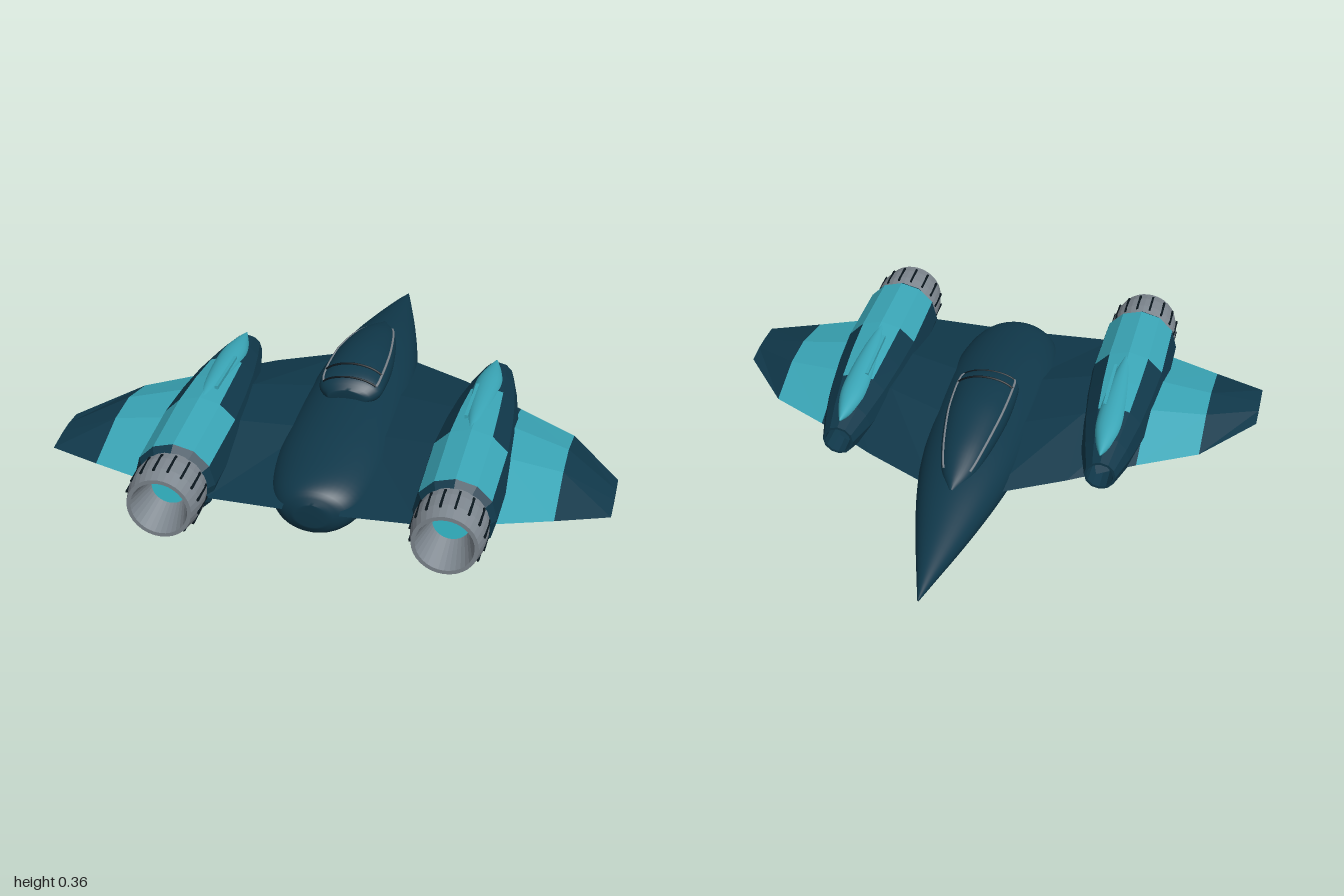
import * as THREE from 'three';

const mat = (name, color, side = THREE.FrontSide) => {
  const m = new THREE.MeshStandardMaterial({ color, side });
  m.name = name;
  return m;
};

// Skins closed rings of points; keep(i, j) selects which quads are built
function loft(rings, { flat = false, capStart = true, capEnd = true, keep = () => true } = {}) {
  const n = rings[0].length, pos = [], idx = [];
  rings.forEach(r => r.forEach(p => pos.push(p.x, p.y, p.z)));
  for (let i = 0; i < rings.length - 1; i++) {
    for (let j = 0; j < n; j++) {
      if (!keep(i, j)) continue;
      const a = i * n + j, b = i * n + (j + 1) % n;
      idx.push(a, b, b + n, a, b + n, a + n);
    }
  }
  const last = (rings.length - 1) * n;
  for (let j = 1; j < n - 1; j++) {
    if (capStart) idx.push(0, j + 1, j);
    if (capEnd) idx.push(last, last + j, last + j + 1);
  }
  let g = new THREE.BufferGeometry();
  g.setAttribute('position', new THREE.Float32BufferAttribute(pos, 3));
  g.setIndex(idx);
  if (flat) g = g.toNonIndexed();
  g.computeVertexNormals();
  return g;
}

// Section rows are [z, halfWidth, bottom, top]
const sectionPoint = ([z, w, lo, hi], a, cx = 0) =>
  new THREE.Vector3(cx + w * Math.cos(a), (lo + hi) / 2 + (hi - lo) / 2 * Math.sin(a), z);
const sectionRing = (s, n, cx = 0) =>
  Array.from({ length: n }, (_, j) => sectionPoint(s, Math.PI / 2 + j / n * Math.PI * 2, cx));
const round = (z, r, cy) => [z, r, cy - r, cy + r];

// Smoothly resamples a section table
function smooth(table, count) {
  const curve = f => new THREE.CatmullRomCurve3(table.map(f), false, 'catmullrom', 0.5);
  const a = curve(s => new THREE.Vector3(s[0], s[1], 0));
  const b = curve(s => new THREE.Vector3(s[0], s[2], s[3]));
  return Array.from({ length: count + 1 }, (_, i) => {
    const p = a.getPoint(i / count), q = b.getPoint(i / count);
    return [p.x, Math.max(p.y, 0.001), q.y, q.z];
  });
}

export function createModel() {
  const navy = mat('dark navy hull', 0x10384a);
  const teal = mat('teal paint', 0x3aa6b7);
  const grey = mat('grey metal', 0x7d868e);
  const black = mat('black gap', 0x0a161d);
  const glow = mat('engine glow', 0x38c2d2);

  const model = new THREE.Group();
  model.name = 'spacecraft';
  const add = (parent, name, geo, material) => {
    const m = new THREE.Mesh(geo, material);
    m.name = name;
    parent.add(m);
    return m;
  };
  const tube = (points, r) =>
    new THREE.TubeGeometry(new THREE.CatmullRomCurve3(points), 32, r, 6);

  // Fuselage
  const hull = smooth([
    [-0.92, 0.003, 0.118, 0.126], [-0.8, 0.037, 0.1, 0.162], [-0.6, 0.092, 0.073, 0.21],
    [-0.4, 0.14, 0.05, 0.25], [-0.2, 0.175, 0.03, 0.273], [0, 0.195, 0.014, 0.282],
    [0.2, 0.206, 0.006, 0.282], [0.4, 0.208, 0.01, 0.275], [0.55, 0.193, 0.024, 0.262],
    [0.67, 0.163, 0.038, 0.245], [0.735, 0.12, 0.052, 0.22], [0.76, 0.06, 0.09, 0.18]], 44);
  add(model, 'fuselage', loft(hull.map(s => sectionRing(s, 40))), navy);

  // Canopy with its frame
  const canopy = smooth([
    [-0.45, 0.008, 0.22, 0.245], [-0.36, 0.055, 0.2, 0.285], [-0.25, 0.085, 0.2, 0.325],
    [-0.1, 0.11, 0.2, 0.358], [0, 0.118, 0.2, 0.367], [0.1, 0.12, 0.22, 0.363],
    [0.17, 0.112, 0.235, 0.347], [0.21, 0.07, 0.25, 0.315]], 28);
  add(model, 'canopy', loft(canopy.map(s => sectionRing(s, 32))), navy);
  const frameRows = canopy.filter(s => s[0] > -0.37 && s[0] < 0.18);
  for (const a of [Math.PI / 6, Math.PI * 5 / 6])
    add(model, 'canopyFrame', tube(frameRows.map(s => sectionPoint(s, a)), 0.005), grey);
  const arch = z => {
    const row = canopy.reduce((p, s) => Math.abs(s[0] - z) < Math.abs(p[0] - z) ? s : p);
    return Array.from({ length: 13 }, (_, i) => sectionPoint(row, Math.PI / 6 + i / 12 * Math.PI * 2 / 3));
  };
  add(model, 'canopyBar', tube(arch(0.09), 0.005), black);
  add(model, 'canopyRearFrame', tube(arch(0.17), 0.004), black);

  for (const side of [1, -1]) {
    const half = new THREE.Group();
    half.name = side > 0 ? 'leftSide' : 'rightSide';
    half.scale.x = side;
    model.add(half);

    // Wing sections: [x, leading z, trailing z, bottom, top]
    const wing = [
      [0.1, -0.34, 0.77, 0.1, 0.215], [0.37, -0.2, 0.77, 0.085, 0.243], [0.6, -0.05, 0.715, 0.085, 0.24],
      [0.815, 0.08, 0.635, 0.1, 0.21], [1, 0.33, 0.565, 0.143, 0.16]
    ].map(([x, le, te, lo, hi]) => {
      const at = (f, y) => new THREE.Vector3(x, y, le + (te - le) * f), mid = (lo + hi) / 2;
      return [at(0.33, hi), at(0.6, hi), at(1, mid), at(0.6, lo), at(0.33, lo), at(0, mid)];
    });
    add(half, 'innerWing', loft(wing.slice(0, 3), { flat: true }), navy);
    add(half, 'wingBand', loft(wing.slice(2, 4), { flat: true, capStart: false, capEnd: false }), teal);
    add(half, 'wingTip', loft(wing.slice(3), { flat: true, capStart: false }), navy);

    // Twelve-sided nacelle, beginning inside the hollow intake
    const cx = 0.49;
    const nacelle = [
      round(-0.06, 0.045, 0.205), round(-0.2, 0.049, 0.205), round(-0.2, 0.058, 0.205),
      round(-0.08, 0.088, 0.203), round(0.08, 0.118, 0.2), round(0.24, 0.137, 0.198),
      round(0.42, 0.15, 0.195), round(0.73, 0.145, 0.195), round(0.765, 0.122, 0.197)
    ].map(s => sectionRing(s, 12, cx));
    const painted = (i, j) => {
      const k = Math.min(j, 11 - j);
      return (i === 6 && k < 2) || ((i === 4 || i === 5) && k < 1);
    };
    add(half, 'nacelle', loft(nacelle, { flat: true, keep: (i, j) => !painted(i, j) }), navy);
    add(half, 'nacellePaint', loft(nacelle, { flat: true, capStart: false, capEnd: false, keep: painted }), teal);

    // Pointed fairing and small fin above the nacelle
    const fairing = smooth([
      [-0.18, 0.003, 0.278, 0.285], [-0.1, 0.03, 0.25, 0.306], [0, 0.048, 0.25, 0.323],
      [0.15, 0.046, 0.26, 0.336], [0.3, 0.03, 0.29, 0.343], [0.42, 0.006, 0.325, 0.342]], 20);
    add(half, 'fairing', loft(fairing.map(s => sectionRing(s, 20, 0.485))), teal);
    const fin = add(half, 'fin', new THREE.BoxGeometry(0.012, 0.035, 0.25), teal);
    fin.position.set(0.455, 0.318, 0.205);
    fin.rotation.x = -0.06;

    // Hollow exhaust nozzle with gaps between its petals
    const nozzle = [
      round(0.745, 0.122, 0.197), round(0.8, 0.13, 0.197), round(0.86, 0.127, 0.197),
      round(0.915, 0.114, 0.197), round(0.915, 0.1, 0.197), round(0.79, 0.064, 0.205)];
    add(half, 'nozzle', loft(nozzle.map(s => sectionRing(s, 32, cx)),
      { flat: true, capStart: false, capEnd: false }), grey);
    add(half, 'exhaustGlow', new THREE.CircleGeometry(0.066, 24), glow).position.set(cx, 0.205, 0.792);
    for (let k = 0; k < 16; k++) {
      const a = (k + 0.5) / 16 * Math.PI * 2;
      const gap = add(half, 'petalGap', new THREE.BoxGeometry(0.008, 0.006, 0.1), black);
      gap.position.set(cx + 0.128 * Math.cos(a), 0.197 + 0.128 * Math.sin(a), 0.825);
      gap.rotation.z = a + Math.PI / 2;
    }
  }
  return model;
}
